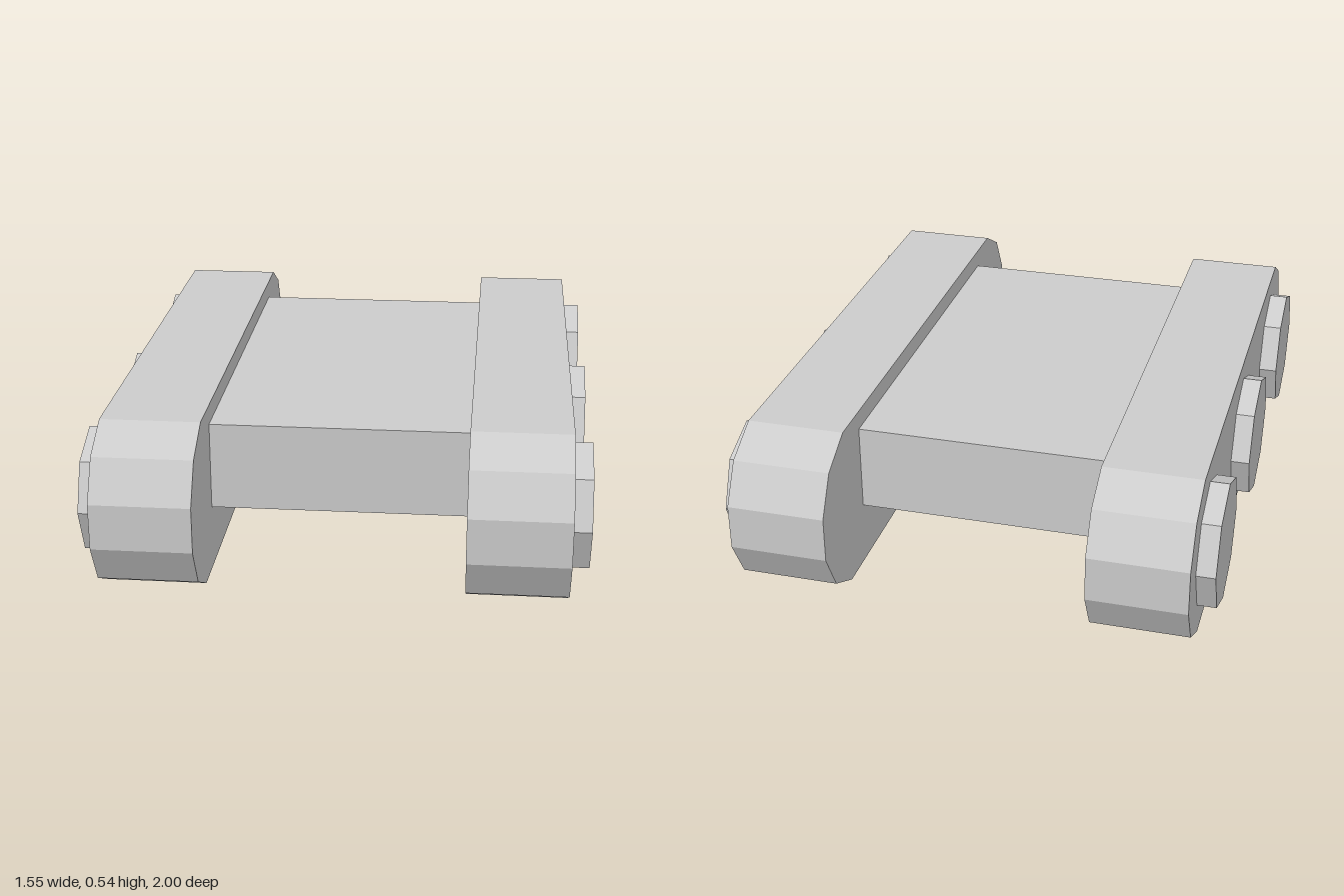
import * as THREE from 'three';

export function createModel() {
  const model = new THREE.Group();
  const grey = new THREE.MeshStandardMaterial({ color: 0xcccccc });
  grey.name = 'grey';

  function add(name, geometry, x, y, z) {
    const mesh = new THREE.Mesh(geometry, grey);
    mesh.name = name;
    mesh.position.set(x, y, z);
    model.add(mesh);
  }

  // Flat hull slab between the tracks
  add('hull', new THREE.BoxGeometry(0.81, 0.28, 1.33), 0, 0.34, 0);

  // Track outline: one rounded end, mirrored to the other
  const end = [[0.8, 0], [0.93, 0.07], [1, 0.2], [1, 0.345], [0.93, 0.47], [0.8, 0.54]];
  const outline = [...end, ...end.map(([z, y]) => [-z, y]).reverse()];
  const trackShape = new THREE.Shape(outline.map(([z, y]) => new THREE.Vector2(z, y)));
  const trackGeometry = new THREE.ExtrudeGeometry(trackShape, { depth: 0.31, bevelEnabled: false });
  trackGeometry.translate(0, 0, -0.155).rotateY(Math.PI / 2);

  // Octagonal wheel cap, set slightly into the track
  const wheelGeometry = new THREE.CylinderGeometry(0.205, 0.205, 0.08, 8).toNonIndexed();
  wheelGeometry.rotateZ(Math.PI / 2).computeVertexNormals();

  for (const [side, s] of [['left', 1], ['right', -1]]) {
    add(`${side}Track`, trackGeometry, s * 0.56, 0, 0);
    [['front', 0.69], ['middle', 0], ['rear', -0.69]].forEach(([place, z]) =>
      add(`${side}Wheel ${place}`, wheelGeometry, s * 0.735, 0.267, z));
  }
  return model;
}
